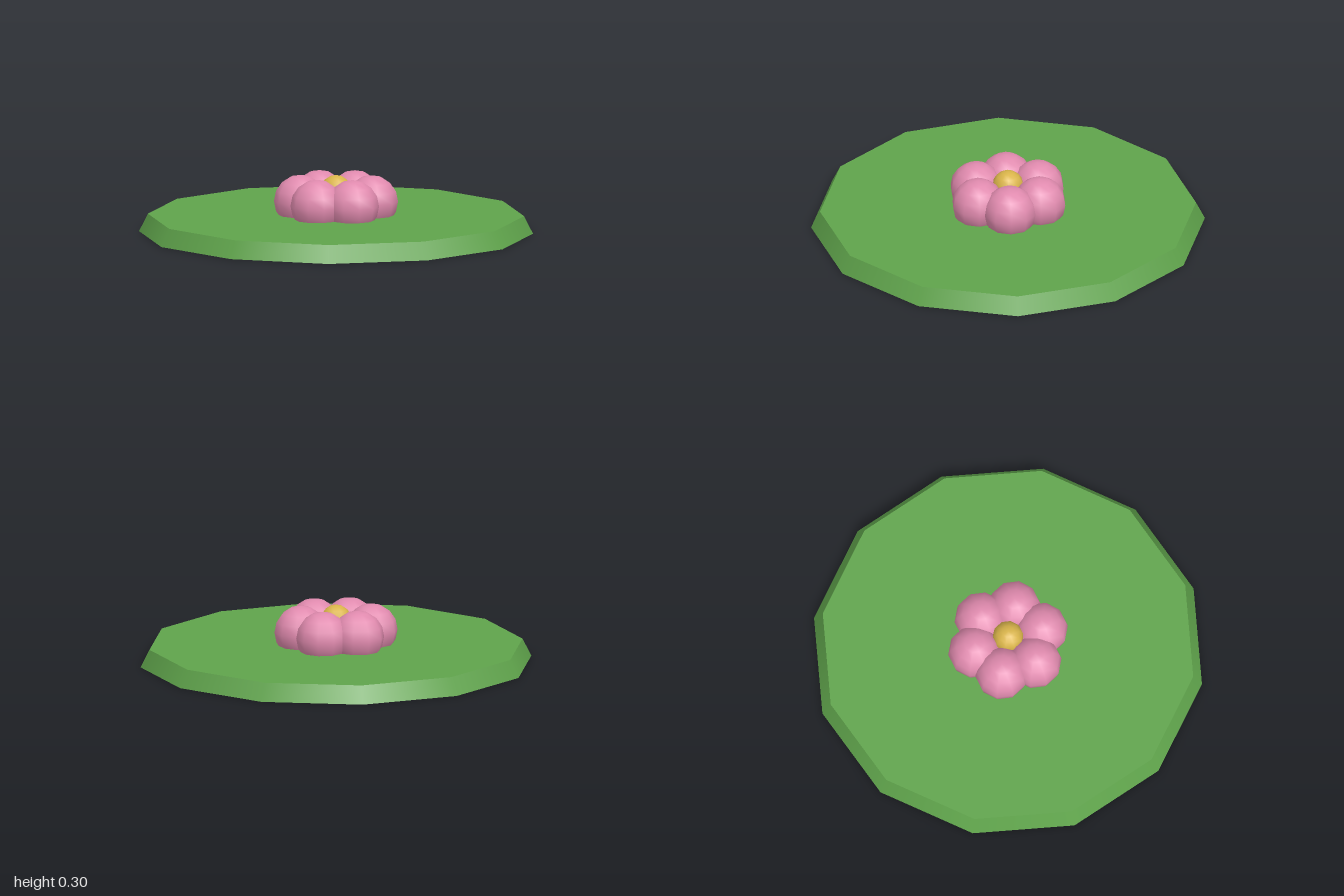
import * as THREE from 'three';

export function createModel() {
  const model = new THREE.Group();
  model.name = 'waterLily';

  const material = (name, color) => {
    const m = new THREE.MeshStandardMaterial({ color });
    m.name = name;
    return m;
  };
  const leafGreen = material('leafGreen', 0x5fa34b);
  const petalPink = material('petalPink', 0xe08aae);
  const pollenYellow = material('pollenYellow', 0xd9b44a);

  const add = (name, geometry, mat, x, y, z, parent = model) => {
    const mesh = new THREE.Mesh(geometry, mat);
    mesh.name = name;
    mesh.position.set(x, y, z);
    parent.add(mesh);
  };

  // Twelve-sided floating pad, slightly narrower on top
  add('lilyPad', new THREE.CylinderGeometry(0.955, 1, 0.09, 12), leafGreen, 0, 0.045, 0);

  // Ring of six round petals
  const flower = new THREE.Group();
  flower.name = 'flower';
  model.add(flower);
  const petal = new THREE.SphereGeometry(0.135, 10, 8);
  for (let i = 0; i < 6; i++) {
    const a = (i / 6) * Math.PI * 2;
    add(`petal${i + 1}`, petal, petalPink, Math.cos(a) * 0.18, 0.16, Math.sin(a) * 0.18, flower);
  }

  // Yellow heart of the flower
  add('flowerCentre', new THREE.SphereGeometry(0.08, 10, 8), pollenYellow, 0, 0.215, 0, flower);

  return model;
}
